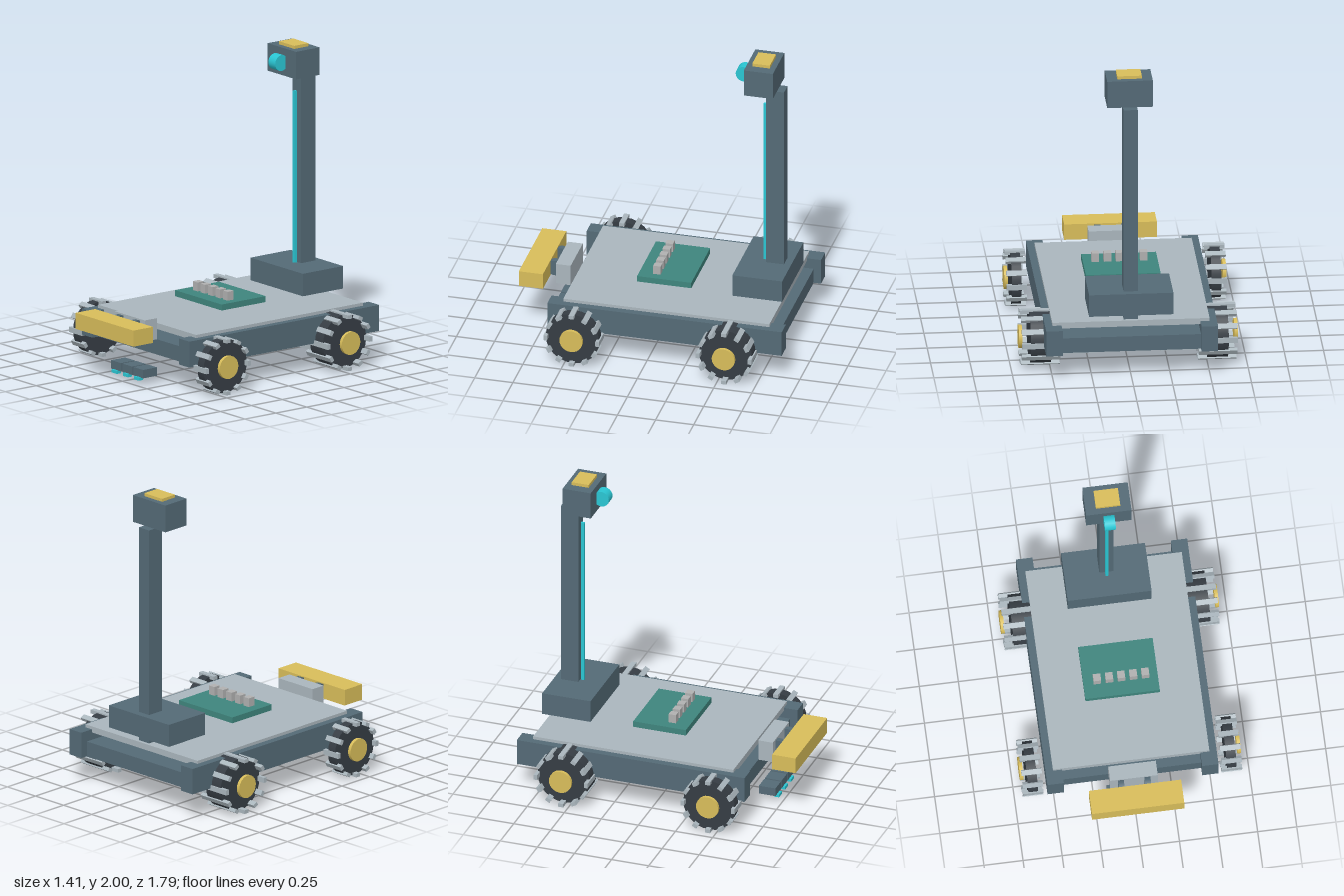
import * as THREE from 'three';

const mat = (color) => new THREE.MeshStandardMaterial({ color });
const slate = mat(0x546a76), plate = mat(0xaab6bd), gold = mat(0xd8bd5a), teal = mat(0x3f857d);
const cyan = mat(0x2ac6d3), rubber = mat(0x363d44), chipGrey = mat(0xb0b0b0);

// Box given by its extents along each axis
function box(parent, name, material, [x0, x1], [y0, y1], [z0, z1]) {
  const mesh = new THREE.Mesh(new THREE.BoxGeometry(x1 - x0, y1 - y0, z1 - z0), material);
  mesh.position.set((x0 + x1) / 2, (y0 + y1) / 2, (z0 + z1) / 2);
  mesh.name = name;
  parent.add(mesh);
  return mesh;
}

// Cylinder lying along the x axis
function disc(parent, name, material, radius, width, x, y, z, sides = 24) {
  const geometry = new THREE.CylinderGeometry(radius, radius, width, sides).rotateZ(Math.PI / 2);
  const mesh = new THREE.Mesh(geometry, material);
  mesh.position.set(x, y, z);
  mesh.name = name;
  parent.add(mesh);
  return mesh;
}

// Tyre with twelve cross treads and a hub cap on the outer side
function wheel(name, side, x, z, tyreWidth, treadWidth, hubX) {
  const group = new THREE.Group();
  group.name = name;
  group.position.set(side * x, 0.182, z);
  disc(group, 'tyre', rubber, 0.175, tyreWidth, 0, 0, 0);
  disc(group, 'hubCap', gold, 0.075, 0.022, side * (hubX - x), 0, 0);
  for (let i = 0; i < 12; i++) {
    const a = (i / 12) * Math.PI * 2;
    const tread = new THREE.Mesh(new THREE.BoxGeometry(treadWidth, 0.024, 0.034), plate);
    tread.name = 'tread';
    tread.position.set(0, Math.cos(a) * 0.17, Math.sin(a) * 0.17);
    tread.rotation.x = a;
    group.add(tread);
  }
  return group;
}

export function createModel() {
  const model = new THREE.Group();
  model.name = 'rover';

  // Chassis and deck
  box(model, 'chassisBase', slate, [-0.46, 0.46], [0.18, 0.28], [-0.845, 0.592]);
  box(model, 'deckPlate', plate, [-0.5, 0.5], [0.33, 0.37], [-0.8, 0.55]);

  // Rails, wheels and motors on both sides
  for (const side of [1, -1]) {
    const label = side > 0 ? 'left' : 'right';
    const span = (a, b) => (side > 0 ? [a, b] : [-b, -a]);
    box(model, label + 'Rail', slate, span(0.442, 0.547), [0.18, 0.35], [-0.893, 0.642]);
    box(model, label + 'Motor', plate, span(0.2, 0.468), [0.09, 0.2], [-0.64, -0.46]);
    model.add(wheel(label + 'FrontWheel', side, 0.635, 0.447, 0.062, 0.13, 0.695));
    model.add(wheel(label + 'RearWheel', side, 0.563, -0.548, 0.132, 0.245, 0.685));
    disc(model, label + 'BumperRoller', slate, 0.052, 0.038, side * 0.085, 0.36, 0.71);
  }

  // Front bumper and its mount
  box(model, 'bumperMount', plate, [-0.152, 0.152], [0.28, 0.418], [0.592, 0.69]);
  box(model, 'bumper', gold, [-0.295, 0.295], [0.307, 0.412], [0.737, 0.895]);

  // Three ground sensors below the front edge
  for (let i = -1; i <= 1; i++) {
    const x = i * 0.113;
    box(model, 'groundSensor', slate, [x - 0.05, x + 0.05], [0.045, 0.1], [0.6, 0.712]);
    box(model, 'sensorLamp', cyan, [x - 0.026, x + 0.026], [0.027, 0.047], [0.692, 0.727]);
  }

  // Circuit board with a row of components
  box(model, 'circuitBoard', teal, [-0.238, 0.238], [0.413, 0.452], [-0.22, 0.135]);
  for (let i = 0; i < 5; i++) {
    const x = -0.149 + i * 0.077;
    box(model, 'boardComponent', chipGrey, [x - 0.024, x + 0.024], [0.45, 0.51], [-0.005, 0.044]);
  }

  // Mast with light strip
  box(model, 'mastBase', slate, [-0.268, 0.268], [0.413, 0.56], [-0.823, -0.497]);
  box(model, 'mast', slate, [-0.045, 0.045], [0.37, 1.8], [-0.777, -0.66]);
  box(model, 'lightStrip', cyan, [-0.009, 0.009], [0.55, 1.682], [-0.656, -0.633]);

  // Sensor head with lens and top cap
  box(model, 'head', slate, [-0.145, 0.145], [1.8, 1.98], [-0.73, -0.54]);
  box(model, 'headCap', gold, [-0.078, 0.078], [1.97, 2.0], [-0.693, -0.578]);
  disc(model, 'lens', cyan, 0.052, 0.07, 0, 1.89, -0.51);

  return model;
}
